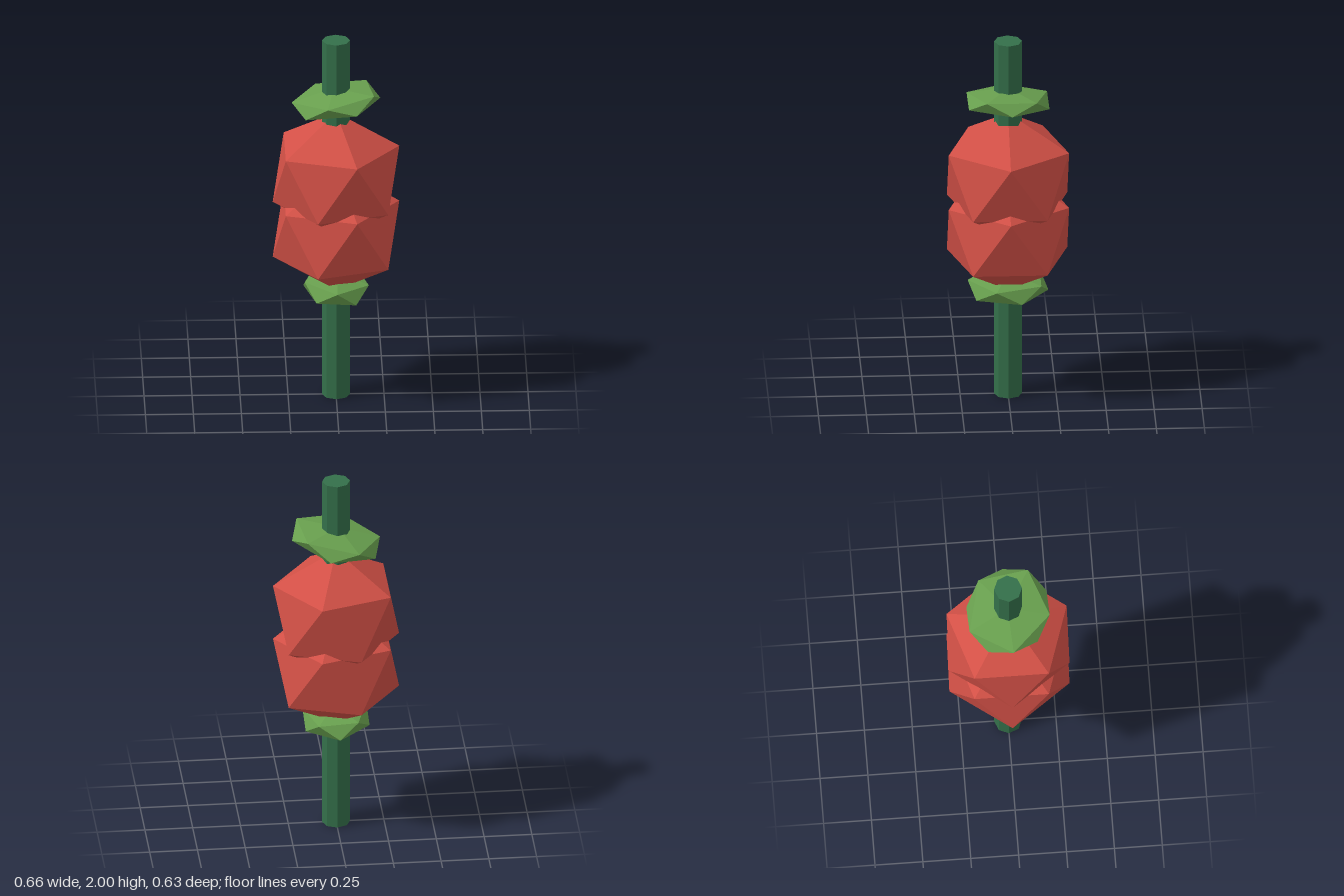
import * as THREE from 'three';

const stemGreen = new THREE.MeshStandardMaterial({ name: 'stemGreen', color: 0x346f4a });
const ballRed = new THREE.MeshStandardMaterial({ name: 'ballRed', color: 0xd25046 });
const leafGreen = new THREE.MeshStandardMaterial({ name: 'leafGreen', color: 0x689f4e });

// Icosahedron standing on a vertex, with an upper ring vertex on +x.
// rx, rz: ring radii; h: height of the upper ring above the centre.
function gem(rx, h, rz) {
  const ring = 2 / Math.sqrt(5), level = 1 / Math.sqrt(5);
  const g = new THREE.IcosahedronGeometry(1, 0);
  g.rotateZ(-Math.atan(2 / (1 + Math.sqrt(5))));
  g.scale(rx / ring, h / level, rz / ring);
  g.computeVertexNormals(); // unshared corners give flat faces
  return g;
}

export function createModel() {
  const model = new THREE.Group();
  const add = (name, geometry, material, y) => {
    const mesh = new THREE.Mesh(geometry, material);
    mesh.name = name;
    mesh.position.y = y;
    model.add(mesh);
    return mesh;
  };

  // Eight-sided stem through the whole stack
  const stem = new THREE.CylinderGeometry(0.073, 0.073, 2, 8).toNonIndexed();
  stem.computeVertexNormals();
  add('stem', stem, stemGreen, 1);

  // Two overlapping red balls
  const ball = gem(0.33, 0.155, 0.33);
  add('lowerBall', ball, ballRed, 0.935);
  add('upperBall', ball, ballRed, 1.245);

  // Flattened, tilted green leaves: spin first, then tilt
  const upperLeaf = add('upperLeaf', gem(0.236, 0.031, 0.218), leafGreen, 1.661);
  upperLeaf.rotation.set(-0.04, -0.53, 0.16, 'ZXY');
  const lowerLeaf = add('lowerLeaf', gem(0.21, 0.036, 0.176), leafGreen, 0.615);
  lowerLeaf.rotation.set(0.015, -Math.PI / 2, -0.06, 'ZXY');

  return model;
}
